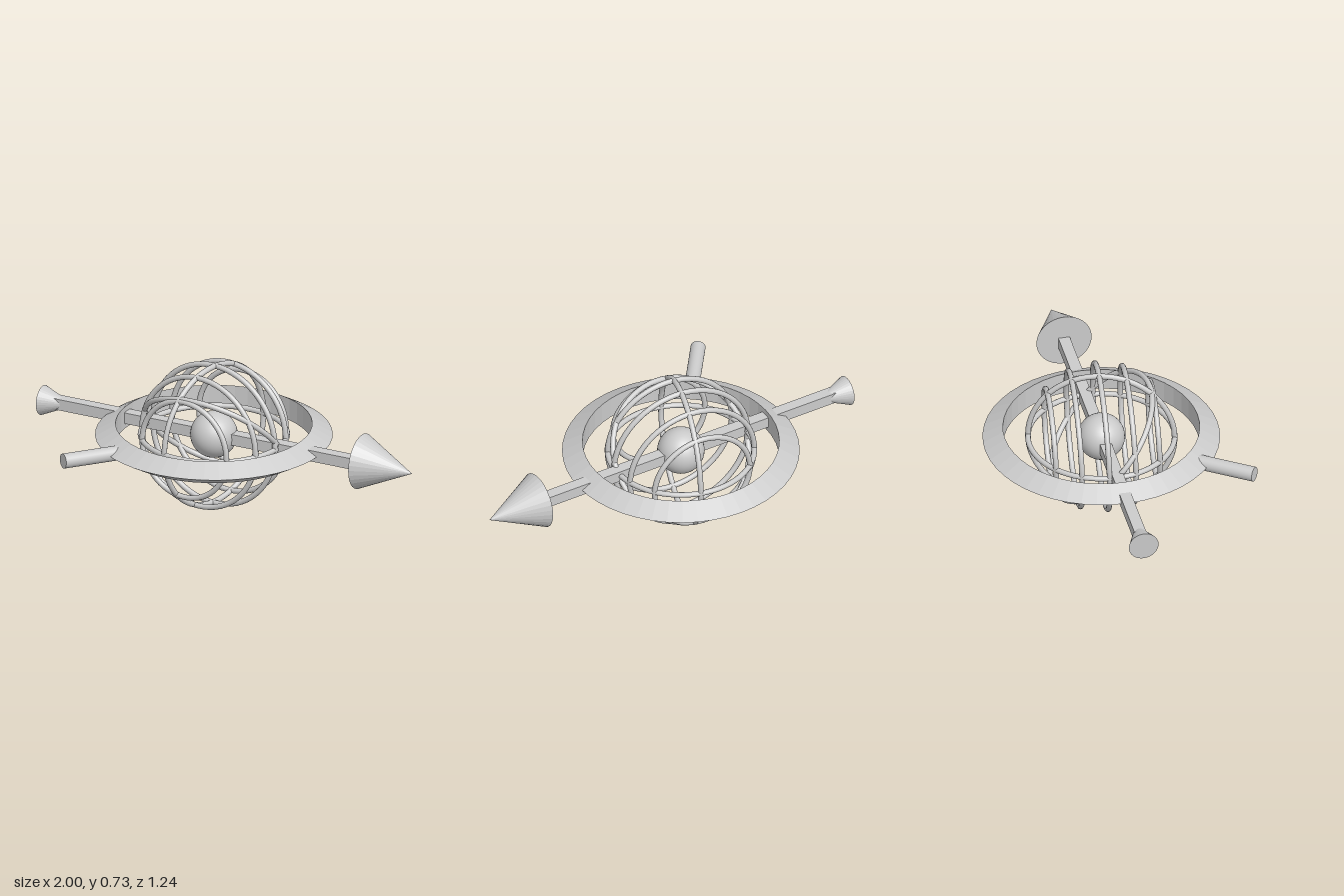
import * as THREE from 'three';

const V = (x, y, z) => new THREE.Vector3(x, y, z);

export function createModel() {
  const model = new THREE.Group();
  const smooth = new THREE.MeshStandardMaterial({ color: 0xcccccc });
  const faceted = new THREE.MeshStandardMaterial({ color: 0xcccccc, flatShading: true });
  const centre = V(-0.075, 0.372, -0.05);

  const add = (name, geometry, material, position, parent = model) => {
    const mesh = new THREE.Mesh(geometry, material);
    mesh.name = name;
    mesh.position.copy(position);
    parent.add(mesh);
    return mesh;
  };

  // Cylinder or cone running from a to b
  const rod = (name, a, b, rA, rB, sides, material) => {
    const dir = b.clone().sub(a);
    const mesh = add(name, new THREE.CylinderGeometry(rB, rA, dir.length(), sides), material,
      a.clone().add(b).multiplyScalar(0.5));
    mesh.quaternion.setFromUnitVectors(V(0, 1, 0), dir.normalize());
    return mesh;
  };

  // Central globe
  add('globe', new THREE.SphereGeometry(0.114, 32, 20), smooth, centre);

  // Broad horizon ring with a triangular section
  const section = [[0.472, -0.056], [0.57, 0], [0.472, 0.056], [0.472, -0.056]];
  add('horizonRing', new THREE.LatheGeometry(section.map(p => new THREE.Vector2(...p)), 48),
    faceted, centre);

  // Cage of thin hoops lying on one sphere
  const cage = new THREE.Group();
  cage.name = 'cage';
  cage.position.copy(centre);
  model.add(cage);
  const R = 0.352, tube = 0.0135;
  const hoop = (name, normal, offset = 0) => {
    const n = normal.clone().normalize();
    const radius = Math.sqrt(R * R - offset * offset);
    const mesh = add(name, new THREE.TorusGeometry(radius, tube, 10, 64), smooth,
      n.clone().multiplyScalar(offset), cage);
    mesh.quaternion.setFromUnitVectors(V(0, 0, 1), n);
  };
  hoop('meridianHoop', V(0.966, 0, 0.26));
  hoop('equatorHoop', V(0, 1, 0));
  hoop('slantedHoop', V(0, -0.485, 0.53));
  for (const offset of [-0.247, -0.13, 0, 0.13, 0.255]) {
    hoop('parallelHoop', V(-0.11, 0.03, 1), offset);
  }

  // Square arrow shaft through the globe
  add('arrowShaft', new THREE.BoxGeometry(1.68, 0.056, 0.056), faceted, V(-0.1, 0.372, -0.052));

  // Arrowhead, with its tip slightly below the axis of its base
  const head = new THREE.ConeGeometry(0.136, 0.275, 32);
  head.rotateZ(-Math.PI / 2);
  const pos = head.attributes.position;
  for (let i = 0; i < pos.count; i++) {
    pos.setY(i, pos.getY(i) - 0.012 * (pos.getX(i) / 0.275 + 0.5));
  }
  head.computeVertexNormals();
  add('arrowHead', head, faceted, V(0.8575, 0.385, -0.052));

  // Flared tail
  rod('arrowTail', V(-1, 0.368, -0.052), V(-0.87, 0.372, -0.052), 0.073, 0.018, 32, faceted);

  // Short peg standing out of the ring
  rod('peg', V(-0.372, 0.368, 0.348), V(-0.555, 0.379, 0.594), 0.036, 0.036, 24, smooth);

  return model;
}
